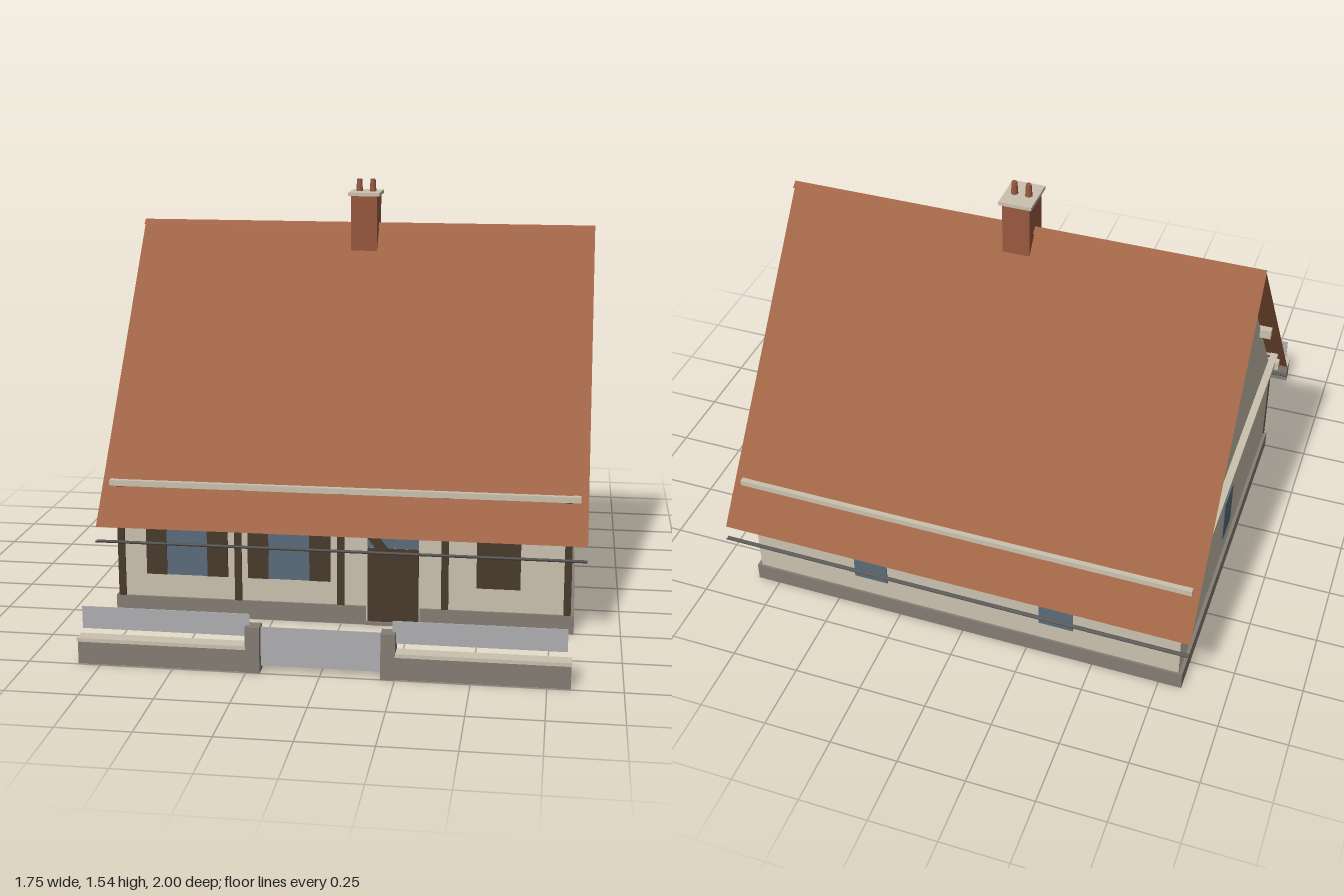
import * as THREE from 'three';

const mat = (name, color, side = THREE.FrontSide) => {
  const m = new THREE.MeshStandardMaterial({ color, side });
  m.name = name;
  return m;
};

export function createModel() {
  const root = new THREE.Group();
  root.name = 'house';
  const tile = mat('roof tile', 0xa06446, THREE.DoubleSide);
  const plaster = mat('cream plaster', 0xcbc1ae, THREE.DoubleSide);
  const stone = mat('grey stone', 0x857d73);
  const glass = mat('window blue', 0x5a6c7b);
  const wood = mat('dark timber', 0x4a3a2b);
  const brick = mat('chimney brick', 0x99593f);
  const panel = mat('fence grey', 0xb0b0b2);
  const metal = mat('gutter metal', 0x5c5a58, THREE.DoubleSide);

  const add = (name, geo, m) => {
    const mesh = new THREE.Mesh(geo, m);
    mesh.name = name;
    root.add(mesh);
    return mesh;
  };
  // Box given by its minimum and maximum along each axis
  const box = (name, m, x0, x1, y0, y1, z0, z1) => {
    const g = new THREE.BoxGeometry(x1 - x0, y1 - y0, z1 - z0);
    g.translate((x0 + x1) / 2, (y0 + y1) / 2, (z0 + z1) / 2);
    return add(name, g, m);
  };

  const ridgeZ = -0.193, wallX = 0.82, front = 0.495, back = -0.87, eaveY = 0.495;

  // Gable walls
  const gable = new THREE.Shape([
    [front, 0], [front, eaveY], [0.44, eaveY], [ridgeZ, 1.305],
    [-0.825, eaveY], [back, eaveY], [back, 0],
  ].map(([z, y]) => new THREE.Vector2(-z, y)));
  for (const s of [-1, 1]) {
    const g = new THREE.ShapeGeometry(gable);
    g.rotateY(Math.PI / 2);
    add('gableWall', g, plaster).position.x = s * wallX;
    box('gableWindow', glass, s * wallX - 0.004, s * wallX + 0.004, 0.145, 0.33, -0.256, -0.127);
  }

  // Long walls
  for (const [name, z, turn] of [['frontWall', front, 0], ['backWall', back, Math.PI]]) {
    const g = new THREE.PlaneGeometry(wallX * 2, eaveY);
    g.rotateY(turn);
    add(name, g, plaster).position.set(0, eaveY / 2, z);
  }
  for (const s of [-1, 1]) {
    box('backWindow', glass, s * 0.36 - 0.065, s * 0.36 + 0.065, 0.145, 0.33, back - 0.004, back + 0.002);
  }

  // Plinth, open at the door
  const ph = 0.068, px = 0.835;
  box('plinthFrontRight', stone, -px, 0.09, 0, ph, front, 0.503);
  box('plinthFrontLeft', stone, 0.285, px, 0, ph, front, 0.503);
  box('plinthBack', stone, -px, px, 0, ph, -0.878, back);
  for (const s of [-1, 1]) {
    box('plinthSide', stone, s * 0.8285 - 0.0065, s * 0.8285 + 0.0065, 0, ph, -0.878, 0.503);
  }

  // Timber posts and brace on the front
  for (const x of [-0.812, -0.378, -0.002, 0.374, 0.81]) {
    box('timberPost', wood, x - 0.013, x + 0.013, ph, 0.49, front, 0.502);
  }
  const brace = box('timberBrace', wood, -0.017, 0.017, -0.13, 0.13, 0, 0.008);
  brace.position.set(0.092, 0.36, front + 0.004);
  brace.rotation.z = 0.67;

  // Front windows with open shutters, and one closed pair
  for (const x of [-0.567, -0.191]) {
    box('frontWindow', glass, x - 0.075, x + 0.075, 0.155, 0.38, front, 0.499);
    for (const s of [-1, 1]) {
      box('shutter', wood, x + s * 0.113 - 0.038, x + s * 0.113 + 0.038, 0.155, 0.38, front, 0.502);
    }
  }
  box('closedShutters', wood, 0.487, 0.643, 0.155, 0.38, front, 0.502);

  // Door with a light above it, seen from both sides of the wall
  box('door', wood, 0.096, 0.28, 0.012, 0.288, front - 0.006, 0.502);
  box('doorLight', glass, 0.096, 0.28, 0.29, 0.375, front - 0.006, 0.5);
  box('doorStep', stone, 0.09, 0.285, 0, 0.012, 0.48, 0.51);

  // Eaves band round the house
  for (const [z0, z1] of [[0.488, 0.507], [-0.888, -0.869]]) {
    box('eavesBand', plaster, -0.848, 0.848, 0.486, 0.507, z0, z1);
  }
  for (const s of [-1, 1]) {
    box('gableBand', plaster, s * 0.834 - 0.014, s * 0.834 + 0.014, 0.486, 0.507, -0.888, 0.507);
    // Purlin ends
    for (const [dz, y] of [[0, 1.291], [0.345, 0.854], [-0.345, 0.854], [0.632, 0.488], [-0.632, 0.488]]) {
      const z = ridgeZ + dz;
      box('purlinEnd', plaster, s * 0.835 - 0.027, s * 0.835 + 0.027, y - 0.018, y + 0.018, z - 0.0135, z + 0.0135);
    }
  }

  // Thin roof slopes, ridge tiles and gutters
  const slope = (name, dir, topY, botY, run) => {
    const w = 0.875, z1 = ridgeZ + dir * run;
    const g = new THREE.BufferGeometry();
    g.setAttribute('position', new THREE.Float32BufferAttribute([
      -w, topY, ridgeZ, -w, botY, z1, w, botY, z1, w, topY, ridgeZ], 3));
    g.setIndex(dir > 0 ? [0, 1, 2, 0, 2, 3] : [0, 2, 1, 0, 3, 2]);
    g.computeVertexNormals();
    add(name, g, tile);
  };
  for (const dir of [1, -1]) {
    slope('roofSlope', dir, 1.364, 0.358, 0.793);
    slope('ridgeTiles', dir, 1.376, 1.358, 0.023);
    const g = new THREE.CylinderGeometry(0.008, 0.008, 1.75, 10, 1, true, Math.PI, Math.PI);
    g.rotateZ(Math.PI / 2);
    add('gutter', g, metal).position.set(0, 0.31, ridgeZ + dir * 0.799);
  }

  // Chimney
  box('chimney', brick, -0.05, 0.05, 1.17, 1.485, -0.254, -0.122);
  box('chimneyCap', plaster, -0.06, 0.06, 1.483, 1.496, -0.263, -0.113);
  for (const x of [-0.026, 0.026]) {
    add('chimneyPot', new THREE.CylinderGeometry(0.01, 0.013, 0.047, 12), brick).position.set(x, 1.519, -0.19);
  }

  // Garden wall, gate posts and panels
  for (const s of [-1, 1]) {
    const span = (name, m, a, b, ...r) => box(name, m, Math.min(s * a, s * b), Math.max(s * a, s * b), ...r);
    span('gardenWall', stone, 0.25, 0.828, 0, 0.08, 0.955, 0.995);
    span('gardenWallCap', plaster, 0.25, 0.83, 0.08, 0.093, 0.95, 1);
    span('gatePost', stone, 0.203, 0.252, 0, 0.16, 0.949, 1);
    span('fencePanel', panel, 0.24, 0.815, 0.12, 0.198, 0.971, 0.974);
  }
  box('gate', panel, -0.205, 0.205, 0.018, 0.155, 0.971, 0.974);

  return root;
}
